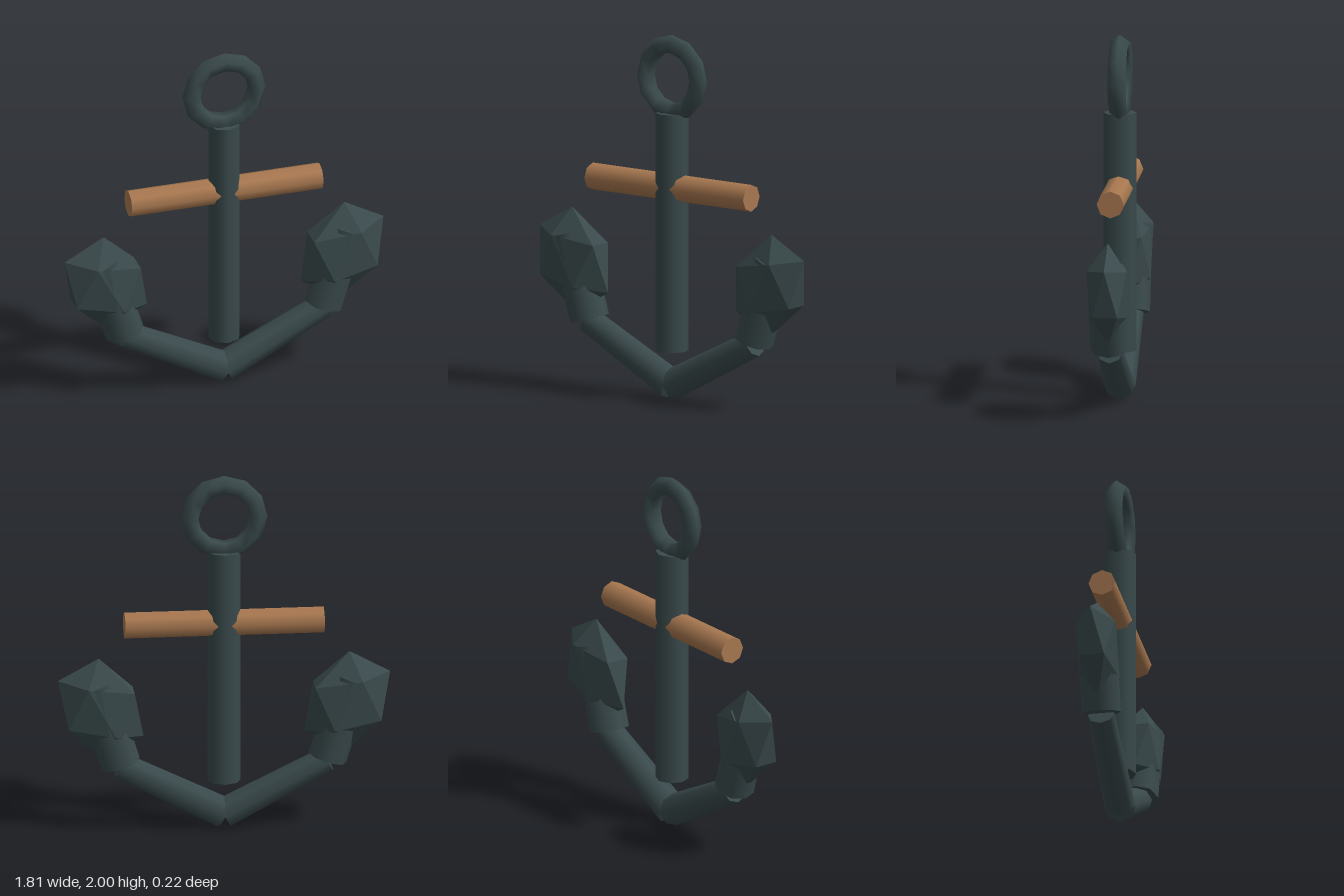
import * as THREE from 'three';

const iron = new THREE.MeshStandardMaterial({ color: 0x3a4a4c });
const wood = new THREE.MeshStandardMaterial({ color: 0xa87850 });

function add(parent, name, geometry, material, x, y, rotZ = 0) {
  const mesh = new THREE.Mesh(geometry, material);
  mesh.name = name;
  mesh.position.set(x, y, 0);
  mesh.rotation.z = rotZ;
  parent.add(mesh);
  return mesh;
}

// Eight-sided rod between two points in the xy plane
function rod(parent, name, material, [x0, y0], [x1, y1], r0, r1 = r0) {
  const length = Math.hypot(x1 - x0, y1 - y0);
  const geometry = new THREE.CylinderGeometry(r1, r0, length, 8);
  return add(parent, name, geometry, material,
    (x0 + x1) / 2, (y0 + y1) / 2, Math.atan2(x0 - x1, y1 - y0));
}

export function createModel() {
  const anchor = new THREE.Group();
  anchor.name = 'anchor';

  // Upright shank with the ring on top and the wooden crossbar
  rod(anchor, 'shank', iron, [0, 0.265], [0, 1.573], 0.089);
  add(anchor, 'ring', new THREE.TorusGeometry(0.184, 0.052, 5, 12), iron, 0, 1.764);
  rod(anchor, 'stock', wood, [0.542, 1.163], [-0.542, 1.163], 0.074);

  // Each side: tapered lower arm, thicker upturned arm, faceted fluke
  for (const [side, s] of [['left', 1], ['right', -1]]) {
    const arm = new THREE.Group();
    arm.name = side + 'Arm';
    anchor.add(arm);
    rod(arm, 'lowerArm', iron, [0, 0.078], [s * 0.562, 0.366], 0.086, 0.073);
    rod(arm, 'upperArm', iron, [s * 0.562, 0.376], [s * 0.703, 0.833], 0.108);
    const fluke = new THREE.IcosahedronGeometry(1, 0).scale(0.24, 0.3, 0.128);
    add(arm, 'fluke', fluke, iron, s * 0.67, 0.694, -s * 0.5);
  }
  return anchor;
}
